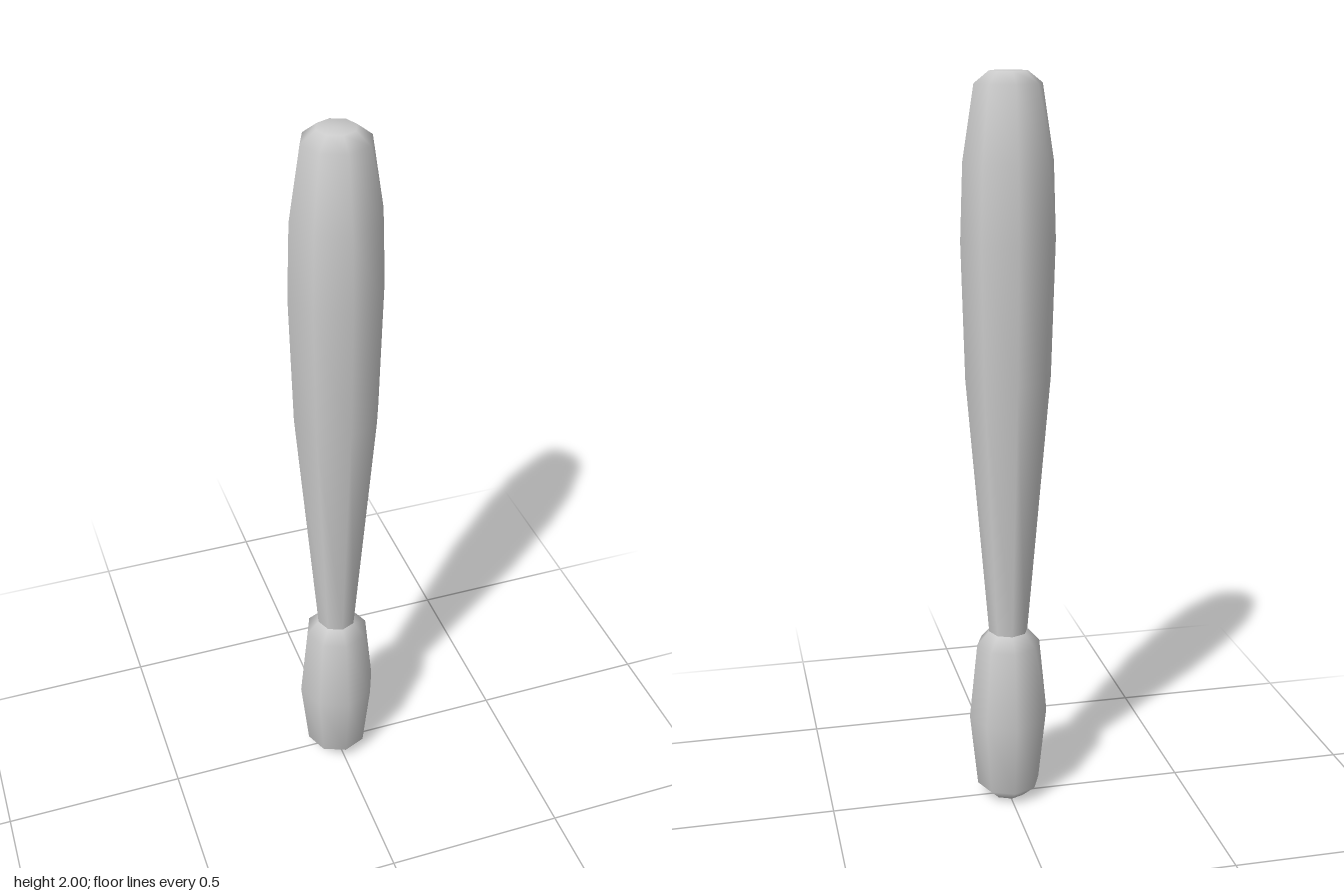
import * as THREE from 'three';

const SIDES = 8;

// Turned part from [radius, height] pairs, listed bottom to top
function turned(name, profile, material) {
  const points = profile.map(([r, y]) => new THREE.Vector2(r, y));
  const mesh = new THREE.Mesh(new THREE.LatheGeometry(points, SIDES), material);
  mesh.name = name;
  return mesh;
}

export function createModel() {
  const group = new THREE.Group();
  group.name = 'club';
  const material = new THREE.MeshStandardMaterial({ color: 0xcccccc, side: THREE.DoubleSide });

  // Bulging grip with rounded ends
  group.add(turned('grip', [
    [0, 0], [0.05, 0.005], [0.088, 0.04], [0.11, 0.25], [0.088, 0.465], [0.054, 0.503],
  ], material));

  // Long shaft that swells from the neck to a blunt rounded head
  group.add(turned('shaft', [
    [0.054, 0.503], [0.115, 1.22], [0.125, 1.58], [0.118, 1.78], [0.088, 1.97], [0.05, 2], [0, 2],
  ], material));

  return group;
}
